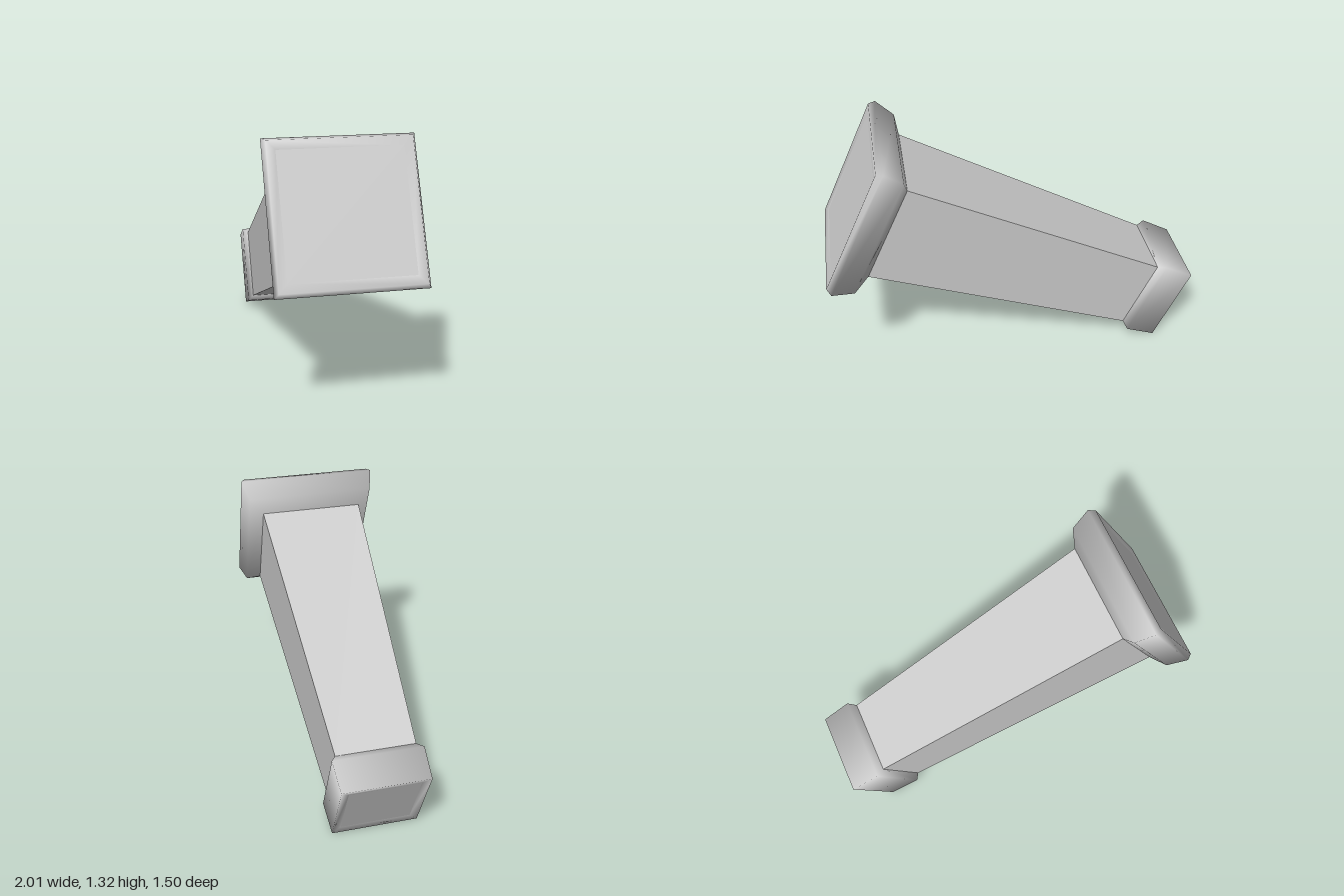
import * as THREE from 'three';

const SPIN = Math.PI / 4; // puts the four sides square to the local axes
const grey = () => new THREE.MeshStandardMaterial({ color: 0xcccccc });

// Square ring with softened bands; profile is [half width, height], bottom to top
function squareRing(name, profile) {
  const points = profile.map(([half, y]) => new THREE.Vector2(half * Math.SQRT2, y));
  const mesh = new THREE.Mesh(new THREE.LatheGeometry(points, 4, SPIN), grey());
  mesh.name = name;
  return mesh;
}

// Flat square plate closing an end
function endFace(name, half, y, facing) {
  const geometry = new THREE.PlaneGeometry(half * 2, half * 2);
  geometry.rotateX(-facing * Math.PI / 2);
  const mesh = new THREE.Mesh(geometry, grey());
  mesh.position.y = y;
  mesh.name = name;
  return mesh;
}

export function createModel() {
  const model = new THREE.Group();
  model.name = 'taperedPost';

  // Tapered four-sided shaft
  const low = -0.574, high = 0.94;
  const shaftMaterial = grey();
  shaftMaterial.flatShading = true;
  const shaft = new THREE.Mesh(
    new THREE.CylinderGeometry(0.275 * Math.SQRT2, 0.203 * Math.SQRT2, high - low, 4, 1, false, SPIN),
    shaftMaterial
  );
  shaft.position.y = (low + high) / 2;
  shaft.name = 'shaft';

  // Small cap at the lower end, large cap at the upper end
  const smallCap = squareRing('smallCap', [
    [0.18, -0.772], [0.222, -0.78], [0.23, -0.61], [0.203, low],
  ]);
  const largeCap = squareRing('largeCap', [
    [0.275, high], [0.345, 0.99], [0.373, 1.105], [0.355, 1.137], [0.31, 1.128],
  ]);

  const post = new THREE.Group();
  post.name = 'post';
  post.add(shaft, smallCap, largeCap,
    endFace('smallEndFace', 0.18, -0.772, -1),
    endFace('largeEndFace', 0.31, 1.128, 1));

  // Lean the post: 30 degrees round, 24.5 degrees above level
  const turn = Math.PI / 6, rise = THREE.MathUtils.degToRad(24.5);
  const side = new THREE.Vector3(Math.sin(turn), 0, -Math.cos(turn));
  const axis = new THREE.Vector3(
    Math.cos(turn) * Math.cos(rise), Math.sin(rise), Math.sin(turn) * Math.cos(rise));
  const depth = new THREE.Vector3().crossVectors(side, axis);
  post.quaternion.setFromRotationMatrix(new THREE.Matrix4().makeBasis(side, axis, depth));
  post.position.set(-0.193, 0.531, -0.15);
  model.add(post);
  return model;
}
